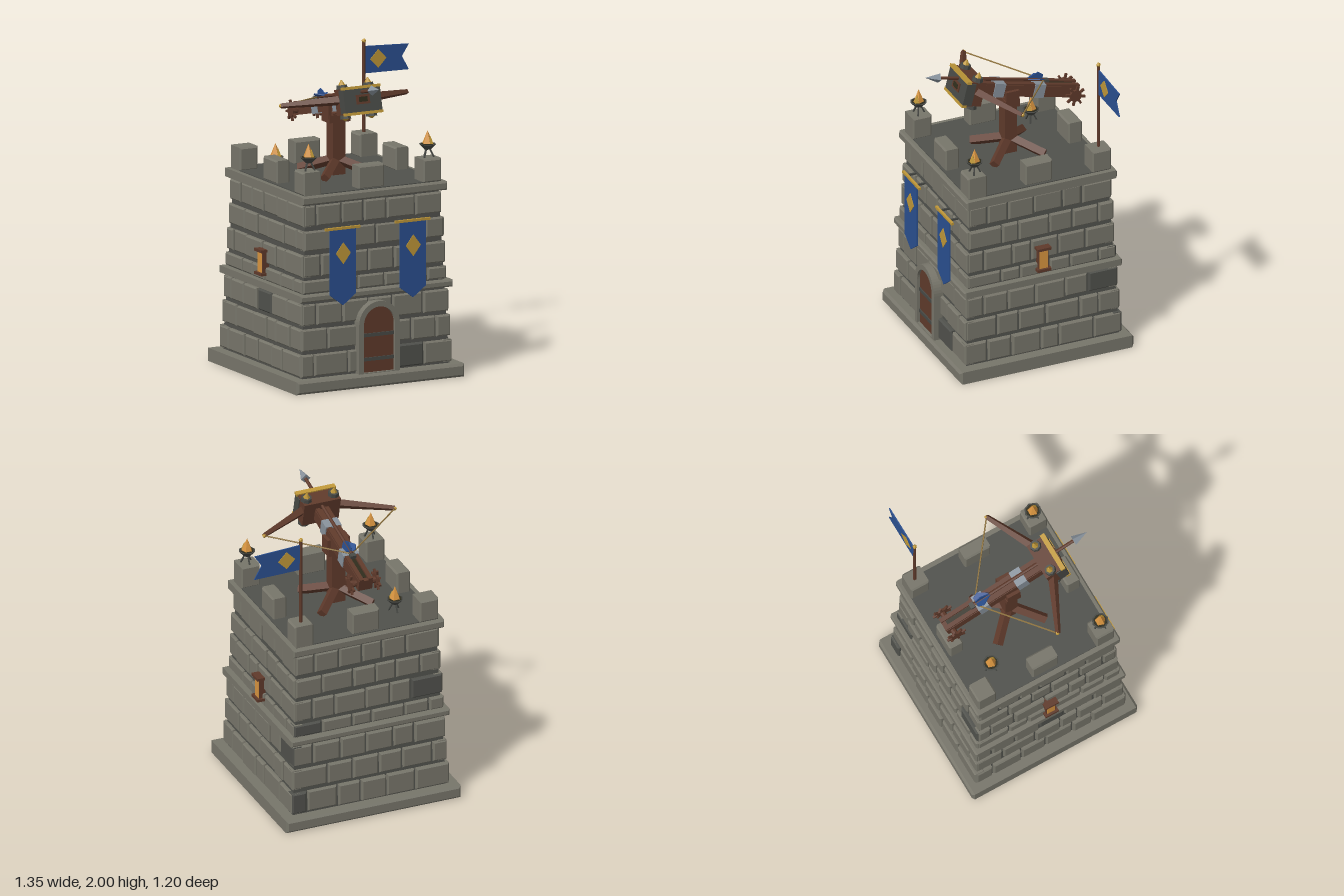
import * as THREE from 'three';
import { mergeGeometries } from 'three/addons/utils/BufferGeometryUtils.js';

const mat = (name, color, side = THREE.FrontSide) => {
  const m = new THREE.MeshStandardMaterial({ color, side });
  m.name = name;
  return m;
};

export function createModel() {
  const M = {
    stone: mat('stone', 0x77756a), dark: mat('darkStone', 0x50514c), wood: mat('wood', 0x5f3a2b),
    darkWood: mat('darkWood', 0x2f2c1c), iron: mat('iron', 0x474945), steel: mat('steel', 0x87919b),
    gold: mat('gold', 0xbf9738), flame: mat('flame', 0xd8943f), blue: mat('blueCloth', 0x2a4f8f, THREE.DoubleSide),
    rope: mat('rope', 0x8f7440),
  };
  let seed = 7;
  const rnd = () => (seed = (seed * 16807) % 2147483647) / 2147483647;

  const model = new THREE.Group();
  model.name = 'siegeTower';
  const tower = new THREE.Group();
  tower.name = 'tower';
  tower.position.x = -0.08;
  model.add(tower);

  const flat = (g) => {
    const f = g.index ? g.toNonIndexed() : g;
    f.computeVertexNormals();
    return f;
  };
  const add = (parent, name, geo, m, x = 0, y = 0, z = 0) => {
    const mesh = new THREE.Mesh(geo, m);
    mesh.name = name;
    mesh.position.set(x, y, z);
    parent.add(mesh);
    return mesh;
  };
  const box = (parent, name, m, w, h, d, x, y, z) => add(parent, name, new THREE.BoxGeometry(w, h, d), m, x, y, z);
  const cyl = (rt, rb, h, n) => flat(new THREE.CylinderGeometry(rt, rb, h, n));
  const poly = (pts) => new THREE.Shape(pts.map((p) => new THREE.Vector2(...p)));
  const plate = (shape, depth) => new THREE.ExtrudeGeometry(shape, { depth, bevelEnabled: false });
  // block with chamfered edges, centred on its own middle
  const block = (w, h, d, b = 0.01) => {
    const x = w / 2 - b, y = h / 2 - b;
    const g = new THREE.ExtrudeGeometry(poly([[-x, -y], [x, -y], [x, y], [-x, y]]),
      { depth: d - 2 * b, bevelThickness: b, bevelSize: b, bevelSegments: 1 });
    return g.translate(0, 0, -d / 2 + b);
  };
  // straight bar between two points, with its own thickness at either end
  const bar = (parent, name, m, a, b, ra, rb = ra, sides = 4) => {
    const A = new THREE.Vector3(...a), B = new THREE.Vector3(...b);
    const g = cyl(rb, ra, A.distanceTo(B), sides);
    if (sides === 4) g.rotateY(Math.PI / 4);
    const mesh = add(parent, name, g, m);
    mesh.position.copy(A).add(B).multiplyScalar(0.5);
    mesh.quaternion.setFromUnitVectors(new THREE.Vector3(0, 1, 0), B.sub(A).normalize());
    return mesh;
  };

  // plinth, core and ledges
  add(tower, 'plinth', block(1.2, 0.085, 1.2, 0.015), M.stone, 0, 0.0425, 0);
  const core = cyl(0.475 * Math.SQRT2, 0.527 * Math.SQRT2, 1.13, 4).rotateY(Math.PI / 4);
  add(tower, 'wallCore', core, M.dark, 0, 0.645, 0);
  add(tower, 'middleLedge', block(1.09, 0.045, 1.09), M.stone, 0, 0.598, 0);
  add(tower, 'topLedge', block(1.04, 0.055, 1.04), M.stone, 0, 1.223, 0);
  box(tower, 'roofFloor', M.dark, 0.975, 0.02, 0.975, 0, 1.246, 0);

  // courses of bricks on the four walls; a few bricks are dark
  const rows = [[0.095, 0.24], [0.26, 0.4], [0.42, 0.56], [0.625, 0.71], [0.73, 0.87], [0.895, 1.025], [1.05, 1.185]];
  const darkSpots = [[0, 0, 0.19], [1, 2, 0.33], [2, 4, 0.33], [2, 0, -0.45], [2, 3, -0.45], [3, 2, 0.02]];
  const pale = [], shaded = [];
  for (let f = 0; f < 4; f++) {
    rows.forEach(([y0, y1], r) => {
      const half = 0.552 - 0.053 * ((y0 + y1) / 2 - 0.16);
      const n = 6;
      const cuts = [-half + 0.008];
      for (let i = 1; i < n; i++) {
        const shift = (r % 2 ? 0.25 : -0.25) + (rnd() - 0.5) * 0.35;
        cuts.push(-half + (2 * half * (i + shift)) / n);
      }
      cuts.push(half - 0.008);
      for (let i = 0; i < n; i++) {
        const w = cuts[i + 1] - cuts[i] - 0.012, u = (cuts[i] + cuts[i + 1]) / 2;
        const g = block(w, y1 - y0 - rnd() * 0.008, 0.07, 0.009);
        g.translate(u, (y0 + y1) / 2, half - 0.035 - rnd() * 0.012).rotateY((f * Math.PI) / 2);
        const isDark = darkSpots.some(([df, dr, du]) => df === f && dr === r && du >= cuts[i] && du < cuts[i + 1]);
        (isDark ? shaded : pale).push(g);
      }
    });
  }
  add(tower, 'bricks', mergeGeometries(pale), M.stone);
  add(tower, 'darkBricks', mergeGeometries(shaded), M.dark);

  // battlements
  for (let f = 0; f < 4; f++) {
    const side = new THREE.Group();
    side.name = 'battlementSide';
    side.rotation.y = (f * Math.PI) / 2;
    tower.add(side);
    add(side, 'cornerMerlon', block(0.13, 0.15, 0.13), M.stone, 0.425, 1.325, 0.43);
    add(side, 'middleMerlon', block(0.185, 0.15, 0.095), M.stone, 0, 1.325, 0.425);
  }

  // arched door with stone surround and iron straps
  const arch = (r, bottom) => {
    const s = new THREE.Shape();
    s.moveTo(-r, bottom);
    s.lineTo(r, bottom);
    s.lineTo(r, 0.4);
    s.absarc(0, 0.4, r, 0, Math.PI);
    return s;
  };
  const frame = arch(0.145, 0.085);
  frame.holes.push(arch(0.11, 0.09));
  add(tower, 'doorSurround', plate(frame, 0.08), M.stone, 0, 0, 0.498);
  add(tower, 'door', plate(arch(0.115, 0.085), 0.055), M.wood, 0, 0, 0.505);
  for (const y of [0.175, 0.33]) box(tower, 'doorStrap', M.iron, 0.215, 0.022, 0.008, 0, y, 0.564);

  // diamond emblem and hanging banners
  const diamond = (w, h) => plate(poly([[0, -h], [w, 0], [0, h], [-w, 0]]), 0.004);
  for (const x of [-0.25, 0.25]) {
    const cloth = poly([[-0.093, 0.61], [0, 0.54], [0.093, 0.61], [0.093, 1.035], [-0.093, 1.035]]);
    add(tower, 'banner', plate(cloth, 0.008), M.blue, x, 0, 0.552);
    add(tower, 'bannerDiamond', diamond(0.053, 0.07), M.gold, x, 0.875, 0.5605);
    box(tower, 'bannerRod', M.gold, 0.25, 0.016, 0.016, x, 1.035, 0.553);
    for (const s of [-1, 1]) box(tower, 'rodBracket', M.iron, 0.012, 0.012, 0.06, x + s * 0.07, 1.035, 0.52);
  }

  // glowing windows on both sides
  for (const s of [-1, 1]) {
    box(tower, 'windowGlow', M.flame, 0.05, 0.14, 0.055, s * 0.52, 0.745, 0);
    for (const y of [0.668, 0.817]) box(tower, 'windowSill', M.wood, 0.07, 0.018, 0.095, s * 0.525, y, 0);
    for (const z of [-0.03, 0.03]) box(tower, 'windowPost', M.wood, 0.045, 0.14, 0.006, s * 0.52, 0.745, z);
  }

  // braziers
  for (const [x, y, z] of [[-0.425, 1.4, 0.425], [0.425, 1.4, 0.425], [-0.28, 1.255, -0.285]]) {
    const b = new THREE.Group();
    b.name = 'brazier';
    b.position.set(x, y, z);
    tower.add(b);
    for (let i = 0; i < 3; i++) {
      const a = (i * Math.PI * 2) / 3 + 0.5, c = Math.cos(a), s = Math.sin(a);
      bar(b, 'brazierLeg', M.iron, [c * 0.04, 0, s * 0.04], [c * 0.012, 0.06, s * 0.012], 0.006);
    }
    add(b, 'brazierBowl', cyl(0.055, 0.022, 0.035, 8), M.iron, 0, 0.068, 0);
    add(b, 'brazierCoals', cyl(0.044, 0.044, 0.006, 8), M.darkWood, 0, 0.086, 0);
    add(b, 'flame', cyl(0, 0.036, 0.085, 5), M.flame, 0, 0.13, 0);
    add(b, 'flameTongue', cyl(0, 0.024, 0.055, 5).rotateY(0.6), M.gold, 0.012, 0.112, 0.016);
  }

  // flagpole and swallowtail flag
  add(tower, 'flagpole', cyl(0.01, 0.012, 0.58, 6), M.wood, 0.43, 1.69, -0.43);
  add(tower, 'poleKnob', flat(new THREE.IcosahedronGeometry(0.015, 0)), M.gold, 0.43, 1.985, -0.43);
  const flag = poly([[0.435, 1.775], [0.75, 1.77], [0.7, 1.86], [0.75, 1.935], [0.435, 1.95]]);
  add(tower, 'flag', plate(flag, 0.008), M.blue, 0, 0, -0.434);
  for (const z of [-0.4265, -0.4375]) add(tower, 'flagDiamond', diamond(0.058, 0.06), M.gold, 0.53, 1.862, z);

  // ballista stand
  for (const sx of [-1, 1]) for (const sz of [-1, 1]) {
    bar(tower, 'standLeg', M.wood, [sx * 0.175, 1.275, sz * 0.175], [sx * 0.02, 1.345, sz * 0.02], 0.033);
  }
  box(tower, 'standPost', M.wood, 0.09, 0.4, 0.085, 0, 1.455, 0);
  box(tower, 'standHead', M.wood, 0.15, 0.05, 0.1, 0, 1.62, 0);
  for (const s of [-1, 1]) box(tower, 'standCheek', M.wood, 0.022, 0.09, 0.09, s * 0.066, 1.665, 0);

  // tilted ballista
  const bal = new THREE.Group();
  bal.name = 'ballista';
  bal.position.set(0, 1.7, 0);
  bal.rotation.x = -0.24;
  tower.add(bal);
  box(bal, 'stockBeam', M.wood, 0.096, 0.075, 0.79, 0, 0, -0.085);
  for (const s of [-1, 1]) box(bal, 'boltRail', M.wood, 0.028, 0.014, 0.79, s * 0.03, 0.043, -0.085);
  box(bal, 'boltGroove', M.darkWood, 0.028, 0.004, 0.2, 0, 0.039, -0.35);
  for (const z of [0.085, -0.2]) box(bal, 'steelBand', M.steel, 0.108, 0.094, 0.075, 0, 0.004, z);
  box(bal, 'trigger', M.iron, 0.04, 0.025, 0.03, 0, 0.055, -0.255);

  // winch with spoked wheels
  add(bal, 'winchAxle', cyl(0.02, 0.02, 0.19, 8).rotateZ(Math.PI / 2), M.wood, 0, -0.005, -0.44);
  for (const s of [-1, 1]) {
    add(bal, 'winchWheel', cyl(0.042, 0.042, 0.016, 8).rotateZ(Math.PI / 2), M.wood, s * 0.09, -0.005, -0.44);
    for (let i = 0; i < 4; i++) {
      box(bal, 'winchSpokes', M.wood, 0.014, 0.135, 0.014, s * 0.09, -0.005, -0.44).rotation.x = (i * Math.PI) / 4;
    }
  }

  // bow head with plates, trim and torsion caps
  box(bal, 'headBlock', M.wood, 0.25, 0.165, 0.12, 0, 0.01, 0.295);
  box(bal, 'headFrontPlate', M.iron, 0.264, 0.15, 0.018, 0, 0.01, 0.36);
  for (const s of [-1, 1]) {
    box(bal, 'headSidePlate', M.iron, 0.008, 0.15, 0.05, s * 0.128, 0.01, 0.33);
    box(bal, 'headTrim', M.gold, 0.27, 0.018, 0.032, 0, 0.01 + s * 0.082, 0.357);
    for (const v of [-1, 1]) {
      add(bal, 'torsionCap', cyl(0.034, 0.038, 0.026, 8), M.iron, s * 0.093, 0.01 + v * 0.094, 0.285);
      const tip = add(bal, 'torsionTip', cyl(0.004, 0.024, v > 0 ? 0.035 : 0.015, 6), M.gold, s * 0.093, 0.01 + v * (v > 0 ? 0.122 : 0.113), 0.285);
      if (v < 0) tip.rotation.x = Math.PI;
    }
    // bow arm, tip and string
    bar(bal, 'bowArm', M.wood, [s * 0.11, 0.022, 0.275], [s * 0.45, 0.03, 0.115], 0.032, 0.017);
    add(bal, 'armTip', flat(new THREE.IcosahedronGeometry(0.014, 0)), M.gold, s * 0.448, 0.03, 0.112);
    bar(bal, 'bowString', M.rope, [s * 0.448, 0.03, 0.112], [0, 0.06, -0.238], 0.005, 0.005, 5);
  }
  box(bal, 'portFrame', M.wood, 0.095, 0.06, 0.012, 0, 0.015, 0.37);
  box(bal, 'portOpening', M.darkWood, 0.06, 0.032, 0.004, 0, 0.015, 0.377);

  // loaded bolt
  add(bal, 'boltShaft', cyl(0.011, 0.011, 0.75, 6).rotateX(Math.PI / 2), M.wood, 0, 0.062, 0.135);
  add(bal, 'boltHead', cyl(0, 0.033, 0.1, 4).rotateX(Math.PI / 2), M.steel, 0, 0.062, 0.555);
  for (const a of [0, 1.15, -1.15]) {
    const fin = plate(poly([[0.115, 0.005], [0.225, 0.005], [0.225, 0.035], [0.185, 0.052]]), 0.006);
    fin.translate(0, 0, -0.003).rotateY(Math.PI / 2);
    add(bal, 'boltFletching', fin, M.blue, 0, 0.062, 0).rotation.z = a;
  }
  return model;
}
